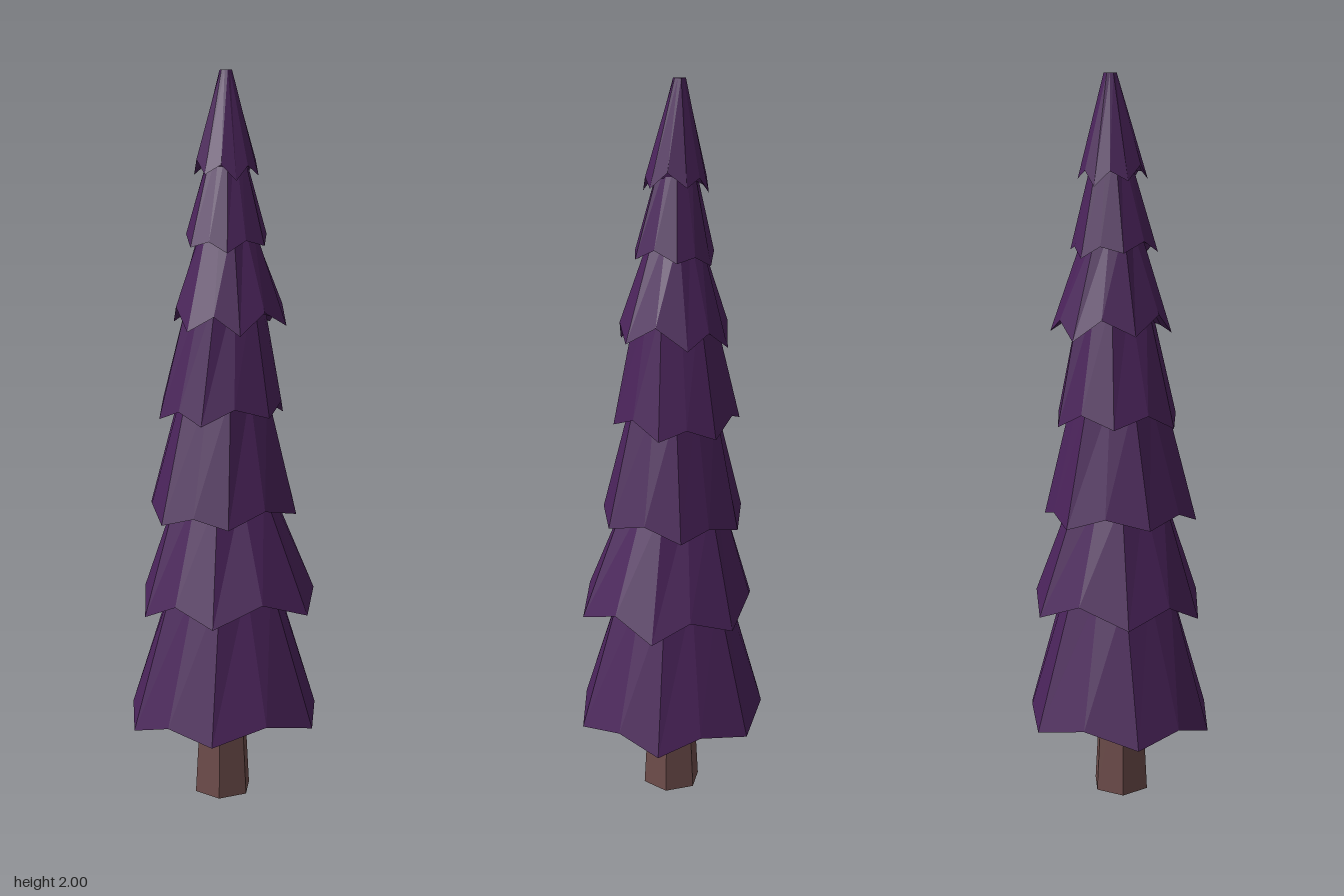
import * as THREE from 'three';

const SIDES = 12; // six drooping corners with a raised point between each pair

// Foliage tiers: rim height, rim radius, top height, top radius, twist in degrees, rim centre, top centre
const TIERS = [
  { y: 0.225, r: 0.275, top: 0.63, topR: 0.155, twist: 27, c: [0, 0], t: [0, 0], lift: 0.035 },
  { y: 0.55, r: 0.25, top: 0.89, topR: 0.135, twist: 30, c: [0.005, 0.015], t: [0, 0], lift: 0.05 },
  { y: 0.815, r: 0.21, top: 1.16, topR: 0.125, twist: 15, c: [-0.005, 0], t: [0, 0], lift: 0.03 },
  { y: 1.085, r: 0.175, top: 1.43, topR: 0.1, twist: 38, c: [0.005, -0.01], t: [0.01, 0], lift: 0.035 },
  { y: 1.325, r: 0.16, top: 1.61, topR: 0.07, twist: 10, c: [0.02, 0.005], t: [0.015, 0], lift: 0.05 },
  { y: 1.54, r: 0.116, top: 1.82, topR: 0.042, twist: 20, c: [0.012, 0], t: [0.02, -0.005], lift: 0.025 },
  { y: 1.725, r: 0.09, top: 2, topR: 0.017, twist: 5, c: [0.015, -0.003], t: [0.022, -0.01], lift: 0.035 },
];

// Small repeatable irregularity in -1..1
const wobble = (tier, i) => Math.sin(tier * 12.9 + i * 7.3);

// One ring of points; corner heights and radii alternate by the given amounts
function ring(tier, index, centre, radius, y, lift, pinch, rough) {
  return Array.from({ length: SIDES }, (_, i) => {
    const mid = i % 2;
    const a = THREE.MathUtils.degToRad(tier.twist + i * 30 + rough * 4 * wobble(index, i + 3));
    const r = radius * (mid ? pinch : 1) * (1 + rough * 0.025 * wobble(index, i));
    const h = y + mid * lift + rough * 0.01 * wobble(index, i + 5);
    return new THREE.Vector3(centre[0] + r * Math.cos(a), h, centre[1] + r * Math.sin(a));
  });
}

// Joins rings from the underside outwards and up, closing both ends with a fan
function loft(rings, bottom, top) {
  const points = [];
  for (let i = 0; i < SIDES; i++) {
    const j = (i + 1) % SIDES;
    points.push(bottom, rings[0][i], rings[0][j]);
    for (let k = 0; k + 1 < rings.length; k++) {
      const lo = rings[k], up = rings[k + 1];
      points.push(lo[i], up[i], lo[j], lo[j], up[i], up[j]);
    }
    const last = rings[rings.length - 1];
    points.push(last[i], top, last[j]);
  }
  const geometry = new THREE.BufferGeometry().setFromPoints(points);
  geometry.computeVertexNormals();
  return geometry;
}

export function createModel() {
  const tree = new THREE.Group();
  tree.name = 'tree';
  const leafMaterial = new THREE.MeshStandardMaterial({ color: 0x4a235a, flatShading: true });
  const barkMaterial = new THREE.MeshStandardMaterial({ color: 0x6d4c4a, flatShading: true });

  // Tapered six-sided trunk
  const trunk = new THREE.Mesh(new THREE.CylinderGeometry(0.06, 0.083, 0.4, 6), barkMaterial);
  trunk.name = 'trunk';
  trunk.position.set(-0.008, 0.2, 0.002);
  tree.add(trunk);

  // Stacked skirts of foliage, each hollowed underneath
  const foliage = new THREE.Group();
  foliage.name = 'foliage';
  TIERS.forEach((tier, index) => {
    const { y, r, top, topR, c, t, lift } = tier;
    const roof = y + r * 0.3;
    const rings = [
      ring(tier, index, c, r * 0.66, roof, 0, 0.95, 0),
      ring(tier, index, c, r * 0.82, y + 0.02, lift, 0.93, 1),
      ring(tier, index, c, r, y, lift, 0.92, 1),
      ring(tier, index, t, topR, top, 0, 0.9, 0),
    ];
    const geometry = loft(rings, new THREE.Vector3(c[0], roof, c[1]), new THREE.Vector3(t[0], top, t[1]));
    const skirt = new THREE.Mesh(geometry, leafMaterial);
    skirt.name = `foliageTier${index + 1}`;
    foliage.add(skirt);
  });
  tree.add(foliage);
  return tree;
}
